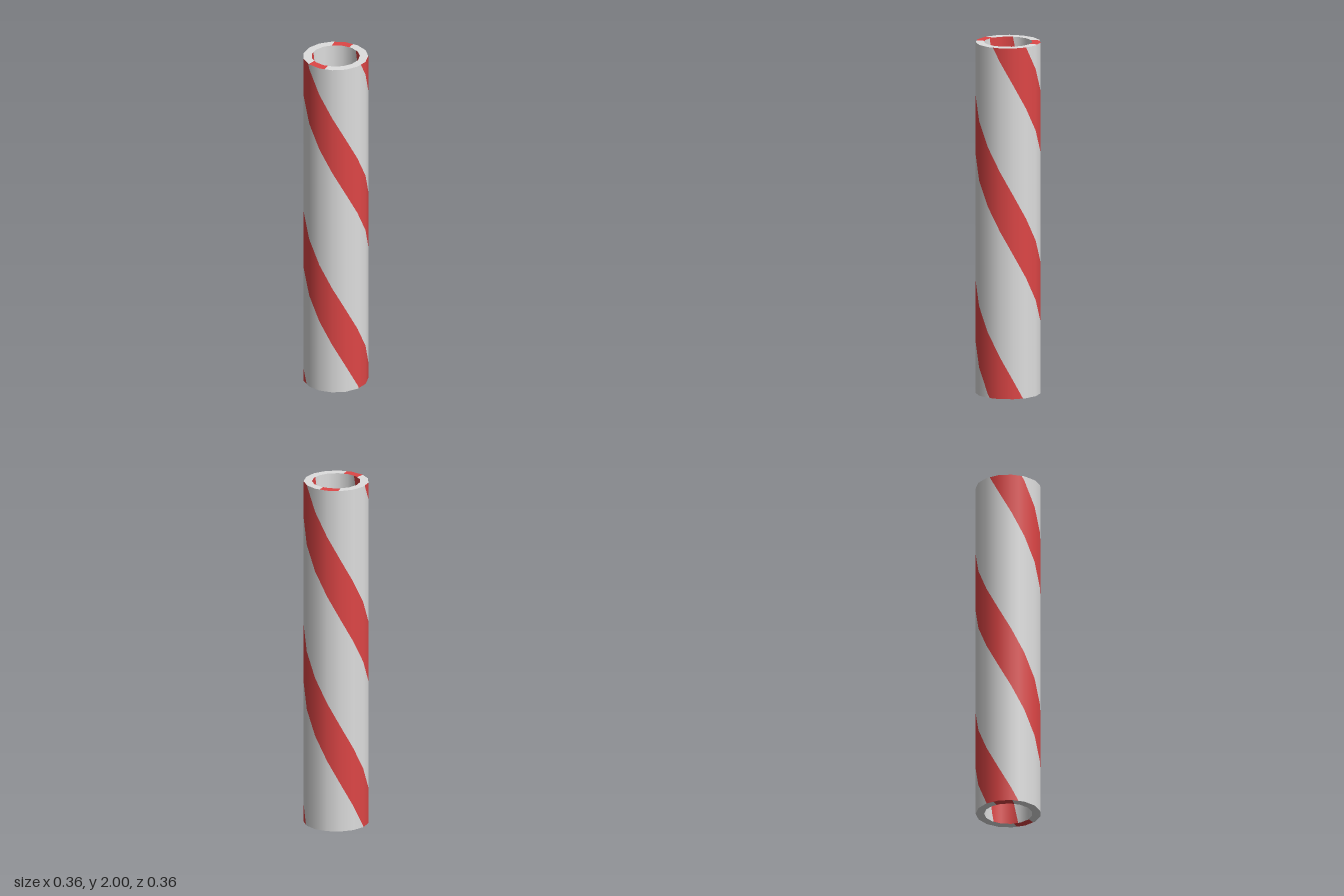
import * as THREE from 'three';

const SIDES = 15, STEP = 360 / SIDES, HEIGHT = 2;
const OUTER = 0.182, INNER = 0.135;
const rad = THREE.MathUtils.degToRad;
const mod = (a) => ((a % 360) + 360) % 360;

// Point (x, z) on the unit polygon outline at an angle in degrees
function outline(deg) {
  const k = Math.floor(deg / STEP + 1e-6), t = deg / STEP - k;
  const a = rad(k * STEP), b = rad((k + 1) * STEP);
  return [
    THREE.MathUtils.lerp(Math.cos(a), Math.cos(b), t),
    THREE.MathUtils.lerp(Math.sin(a), Math.sin(b), t),
  ];
}

// Tube wall cut along straight helical stripe edges.
// bands: stripe start and end angles at y = 0; rate: twist in degrees per unit of height
function wall(radius, bands, rate, inward) {
  const stops = Array.from({ length: SIDES + 1 }, (_, i) => i * STEP);
  bands.flat().forEach((a) => stops.push(mod(a), mod(a + rate * HEIGHT)));
  stops.sort((a, b) => a - b);
  const data = { base: { p: [], n: [] }, stripe: { p: [], n: [] } };
  const clampY = (y) => THREE.MathUtils.clamp(y, 0, HEIGHT);

  const quad = ({ p, n }, a0, a1, lo, hi) => {
    const ys = [lo(a0), lo(a1), hi(a1), hi(a0)].map(clampY);
    if (ys[3] - ys[0] + ys[2] - ys[1] < 1e-5) return;
    const angles = [a0, a1, a1, a0];
    const order = inward ? [0, 1, 2, 0, 2, 3] : [0, 2, 1, 0, 3, 2];
    for (const i of order) {
      const [x, z] = outline(angles[i]);
      const s = (inward ? -1 : 1) / Math.hypot(x, z);
      p.push(x * radius, ys[i], z * radius);
      n.push(x * s, 0, z * s);
    }
  };

  for (let i = 0; i < stops.length - 1; i++) {
    const a0 = stops[i], a1 = stops[i + 1], mid = (a0 + a1) / 2;
    if (a1 - a0 < 1e-4) continue;
    // keep the end of a facet on that facet
    const end = a1 - 1e-4;
    const list = [];
    for (let turn = -3; turn <= 3; turn++) {
      for (const [a, b] of bands) {
        const edge = (e) => (deg) => (deg + 360 * turn - e) / rate;
        list.push(rate > 0 ? [edge(b), edge(a)] : [edge(a), edge(b)]);
      }
    }
    list.sort((u, v) => u[0](mid) - v[0](mid));
    let below = () => 0;
    for (const [lo, hi] of list) {
      quad(data.base, a0, end, below, lo);
      quad(data.stripe, a0, end, lo, hi);
      below = hi;
    }
    quad(data.base, a0, end, below, () => HEIGHT);
  }

  const build = ({ p, n }) => {
    const g = new THREE.BufferGeometry();
    g.setAttribute('position', new THREE.Float32BufferAttribute(p, 3));
    g.setAttribute('normal', new THREE.Float32BufferAttribute(n, 3));
    return g;
  };
  return { base: build(data.base), stripe: build(data.stripe) };
}

// Outline points from one angle to another, with the polygon corners between
function arc(radius, from, to) {
  const angles = [from];
  for (let a = Math.ceil(from / STEP) * STEP; a < to; a += STEP) if (a > from) angles.push(a);
  angles.push(to);
  return angles.map((a) => {
    const [x, z] = outline(a);
    return new THREE.Vector2(x * radius, -z * radius);
  });
}

export function createModel() {
  const group = new THREE.Group();
  group.name = 'stripedTube';
  const base = new THREE.MeshStandardMaterial({ color: 0xdedede });
  base.name = 'pale grey';
  const stripe = new THREE.MeshStandardMaterial({ color: 0xde4646 });
  stripe.name = 'red';

  const add = (name, geometry, material) => {
    const mesh = new THREE.Mesh(geometry, material);
    mesh.name = name;
    mesh.position.x = -0.002;
    group.add(mesh);
    return mesh;
  };

  // Outer and inner walls
  const outside = wall(OUTER, [[6, 68], [179, 239]], 177, false);
  add('outerWall', outside.base, base);
  add('outerStripes', outside.stripe, stripe);
  const inside = wall(INNER, [[169, 231], [340, 402]], -88.5, true);
  add('innerWall', inside.base, base);
  add('innerStripes', inside.stripe, stripe);

  // Ring ends, cut into two red and two grey sections
  const outerCuts = [134.5, 169.6, 292, 327, 494.5];
  const innerCuts = [133, 177, 285, 329, 493];
  for (let i = 0; i < 4; i++) {
    const points = [
      ...arc(OUTER, outerCuts[i], outerCuts[i + 1]),
      ...arc(INNER, innerCuts[i], innerCuts[i + 1]).reverse(),
    ];
    const section = new THREE.ShapeGeometry(new THREE.Shape(points));
    const red = i % 2 === 0;
    for (const top of [true, false]) {
      const name = (top ? 'topRim' : 'bottomRim') + (red ? 'Stripe' : 'Section');
      const mesh = add(name, section, red ? stripe : base);
      mesh.rotation.x = top ? -Math.PI / 2 : Math.PI / 2;
      mesh.position.y = top ? HEIGHT : 0;
    }
  }
  return group;
}
